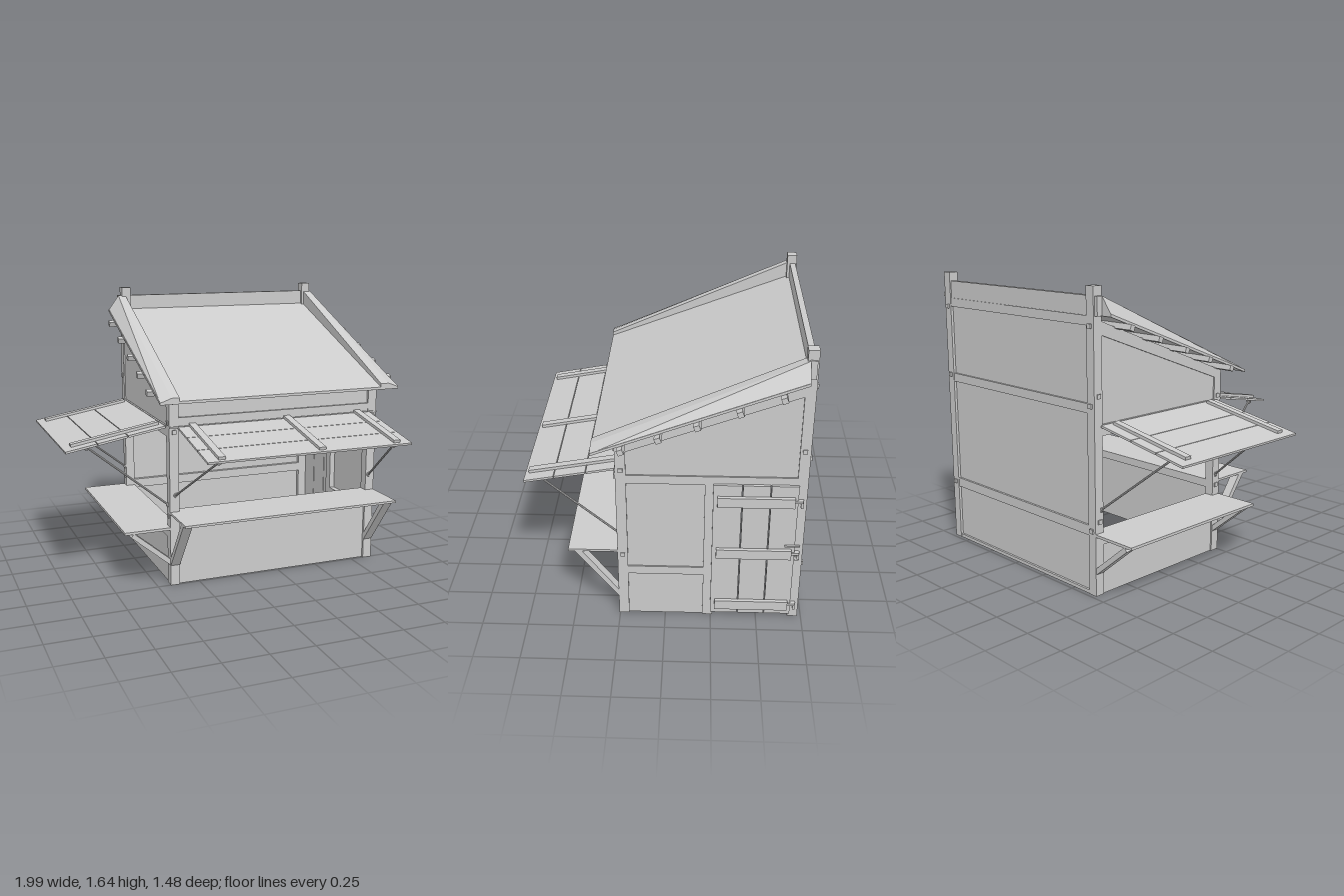
import * as THREE from 'three';

const mat = new THREE.MeshStandardMaterial({ color: 0xcccccc, flatShading: true, side: THREE.DoubleSide });
const V = (x, y, z) => new THREE.Vector3(x, y, z);

export function createModel() {
  const root = new THREE.Group();
  root.name = 'marketStall';

  const add = (name, geo, parent = root) => {
    const m = new THREE.Mesh(geo, mat);
    m.name = name;
    parent.add(m);
    return m;
  };
  // Box given by its limits on each axis
  const box = (name, x0, x1, y0, y1, z0, z1, parent) => {
    const m = add(name, new THREE.BoxGeometry(x1 - x0, y1 - y0, z1 - z0), parent);
    m.position.set((x0 + x1) / 2, (y0 + y1) / 2, (z0 + z1) / 2);
    return m;
  };
  // Outline of [z, y] points extruded from x0 to x1
  const prism = (name, pts, x0, x1) => {
    const shape = new THREE.Shape(pts.map(([z, y]) => new THREE.Vector2(-z, y)));
    const geo = new THREE.ExtrudeGeometry(shape, { depth: x1 - x0, bevelEnabled: false });
    geo.rotateY(Math.PI / 2).translate(x0, 0, 0);
    return add(name, geo);
  };
  // Straight bar between two points
  const bar = (name, a, b, w, h) => {
    const m = add(name, new THREE.BoxGeometry(w, h, a.distanceTo(b)));
    m.position.copy(a).add(b).multiplyScalar(0.5);
    m.lookAt(b);
    return m;
  };
  // Thin prop rod with an eye at each end
  const rod = (a, b) => {
    add('propRod', new THREE.TubeGeometry(new THREE.LineCurve3(a, b), 1, 0.006, 8));
    [[a, 0.013], [b, 0.009]].forEach(([p, r]) =>
      add('propEye', new THREE.TorusGeometry(r, 0.005, 6, 12)).position.copy(p));
  };

  const L0 = -0.425, L1 = -0.37, R0 = 0.83, R1 = 0.885; // post limits in x
  const F0 = 0.2, F1 = 0.255, B0 = -0.73, B1 = -0.675;  // post limits in z
  const sides = [[L0, L1, -1], [R0, R1, 1]];

  // Corner posts, sloped side beams and gable panels
  for (const [x0, x1, s] of sides) {
    prism('frontPost', [[F1, 0], [F1, 1.095], [F0, 1.117], [F0, 0]], x0, x1);
    box('backPost', x0, x1, 0, 1.64, B0, B1);
    prism('slopedBeam', [[F0, 1.06], [F0, 1.117], [B1, 1.46], [B1, 1.39]], x0, x1);
    box('sideRail', x0, x1, 0.87, 0.92, B1, F0);
    const px = s > 0 ? x1 - 0.022 : x0 + 0.008;
    prism('gablePanel', [[F0, 0.92], [F0, 1.06], [B1, 1.39], [B1, 0.92]], px, px + 0.014);
    // Peg ends in the posts
    const xo = s > 0 ? x1 : x0;
    for (const [z, y] of [[0.227, 0.95], [0.227, 0.41], [-0.7, 1.08], [-0.7, 0.41]])
      box('peg', xo - 0.006, xo + 0.006, y - 0.012, y + 0.012, z - 0.012, z + 0.012);
    const xm = (x0 + x1) / 2;
    for (const [y, z] of [[1.44, B0], [1.03, B0], [0.36, B0], [1.07, F1], [0.9, F1]])
      box('peg', xm - 0.012, xm + 0.012, y - 0.012, y + 0.012, z - 0.01, z + 0.01);
  }

  // Back wall
  box('backTopBoard', -0.445, 0.895, 1.49, 1.59, -0.722, -0.69);
  for (const [y0, y1] of [[1.44, 1.49], [0.99, 1.04], [0.33, 0.385], [0, 0.02]])
    box('backRail', L1, R0, y0, y1, B0 + 0.003, B1);
  box('backPanel', L1, R0, 0.02, 1.45, -0.715, -0.7);

  // Front wall, open above the counter
  box('frontTopRail', L1, R0, 1.065, 1.1, F0, F1 - 0.002);
  box('frontLintel', L1, R0, 0.93, 0.98, F0, F1 - 0.002);
  box('frontUpperPanel', L1, R0, 0.98, 1.065, 0.225, 0.24);
  box('frontSill', L1, R0, 0.39, 0.425, F0, F1 - 0.002);
  box('frontLowerPanel', L1, R0, 0, 0.39, 0.225, 0.24);

  // Left wall of the image front, open above its counter
  box('sideSill', L0, L1, 0.28, 0.33, B1, F0);
  box('sideLowerPanel', L0 + 0.008, L0 + 0.022, 0, 0.28, B1, F0);

  // Door side wall
  box('doorPost', R0, R1, 0, 0.87, -0.26, -0.205);
  box('doorSideRail', R0, R1, 0.28, 0.33, -0.205, F0);
  box('doorSidePanel', R1 - 0.022, R1 - 0.008, 0, 0.87, -0.205, F0);

  // Plank door with battens and hinges
  for (const [z0, z1] of [[-0.395, -0.248], [-0.54, -0.4], [-0.685, -0.545]])
    box('doorPlank', R1, 0.9, 0.03, 0.878, z0, z1);
  for (const y of [0.098, 0.45, 0.783]) {
    box('doorBatten', 0.9, 0.92, y - 0.029, y + 0.029, -0.668, -0.27);
    box('doorHinge', R1, 0.908, y - 0.005, y + 0.008, -0.71, -0.668);
    box('hingePin', R1, 0.9, y - 0.04, y + 0.008, -0.712, -0.7);
  }
  box('doorHandle', 0.9, 0.912, 0.5, 0.508, -0.71, -0.63);

  // Counters and their diagonal brackets
  box('frontCounter', L0, R1, 0.425, 0.438, 0.2, 0.52);
  box('sideCounter', -0.69, L1, 0.333, 0.348, B0, F1);
  for (const [x0, x1] of sides)
    prism('frontBracket', [[F1, 0.12], [F1, 0.165], [0.445, 0.425], [0.485, 0.425]], x0, x1);
  for (const z of [B0 + 0.028, F1 - 0.028])
    bar('sideBracket', V(-0.418, 0.135, z), V(-0.645, 0.325, z), 0.05, 0.028);

  // Raised shutters: planks run across, battens on top
  const shutter = (name, pos, turn, tilt, x0, x1, seams, battens, b0, b1) => {
    const g = new THREE.Group();
    g.name = name;
    g.position.copy(pos);
    g.rotation.set(tilt, turn, 0, 'YXZ');
    for (let i = 0; i + 1 < seams.length; i++)
      box('shutterPlank', x0, x1, -0.012, 0, seams[i] + 0.002, seams[i + 1] - 0.002, g);
    for (const x of battens) box('shutterBatten', x - 0.02, x + 0.02, 0, 0.016, b0, b1, g);
    root.add(g);
  };
  shutter('frontShutter', V(0, 0.93, F1), 0, 0.183, -0.375, 0.835,
    [0, 0.16, 0.33, 0.493], [-0.29, 0.29, 0.75], 0.0, 0.47);
  shutter('sideShutter', V(-0.43, 0.93, 0), -Math.PI / 2, 0.175, -0.69, 0.21,
    [0, 0.22, 0.395, 0.578], [-0.605, 0.125], 0.02, 0.53);
  box('frontShutterHinge', L0, R1, 0.922, 0.932, F1 - 0.004, F1 + 0.008);
  box('sideShutterHinge', L0 - 0.008, L0 + 0.004, 0.922, 0.932, B1, F0);
  rod(V(-0.295, 0.825, 0.69), V(-0.39, 0.535, F1));
  rod(V(0.745, 0.825, 0.69), V(0.85, 0.535, F1));
  rod(V(-0.86, 0.825, -0.605), V(L0, 0.475, -0.69));
  rod(V(-0.86, 0.825, 0.125), V(L0, 0.475, 0.22));

  // Roof sheet on battens
  const zf = 0.37, zb = -0.69, slope = 0.387;
  const roofY = z => 1.08 + (zf - z) * slope;
  prism('roofSheet', [[zf, 1.08], [zf, 1.095], [zb, roofY(zb) + 0.015], [zb, roofY(zb)]], -0.51, 0.96);
  for (const z of [0.22, 0.035, -0.155, -0.36, -0.565]) {
    const m = box('roofBatten', -0.54, 0.995, -0.03, 0, -0.015, 0.015);
    m.geometry.translate(0, -0.015, 0);
    m.position.set(0.2275, roofY(z), z);
    m.rotation.x = Math.atan(slope);
  }

  // Side ridges: tapered cross-section lofted from front to back
  for (const [edge, outer, inner] of [[-0.51, -0.445, -0.4], [0.96, 0.895, 0.845]]) {
    const ring = (z, h) => [[edge, 0.012], [outer, h], [inner, h], [inner, 0.012]]
      .map(([x, y]) => [x, roofY(z) + y, z]);
    const pos = [...ring(zf, 0.035), ...ring(zb, 0.1)].flat();
    const idx = [0, 2, 1, 0, 3, 2, 4, 5, 6, 4, 6, 7];
    for (let i = 0; i < 4; i++) {
      const j = (i + 1) % 4;
      idx.push(i, j, j + 4, i, j + 4, i + 4);
    }
    if (edge < 0) idx.reverse();
    const geo = new THREE.BufferGeometry();
    geo.setAttribute('position', new THREE.Float32BufferAttribute(pos, 3));
    geo.setIndex(idx);
    const flat = geo.toNonIndexed();
    flat.computeVertexNormals();
    add('roofSideRidge', flat);
  }
  return root;
}
